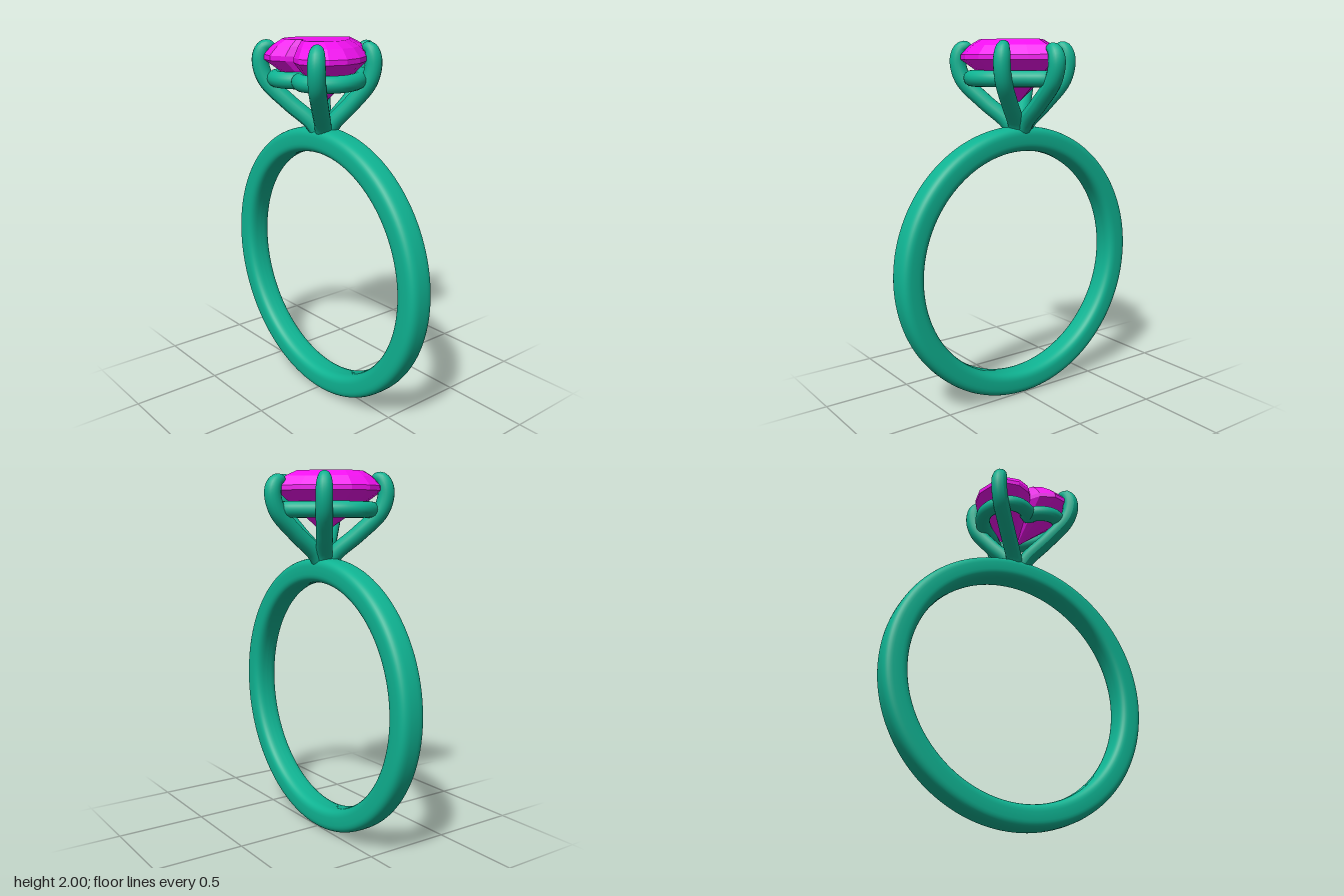
import * as THREE from 'three';

const metal = new THREE.MeshStandardMaterial({ color: 0x0fb392 });
const stone = new THREE.MeshStandardMaterial({ color: 0xf010ee, flatShading: true });

// Right half of the heart outline as [x, z], from the cleft round to the point
const half = [
  [0, 0.215], [0.035, 0.265], [0.12, 0.3], [0.195, 0.285], [0.255, 0.22], [0.285, 0.13],
  [0.265, 0.03], [0.2, -0.075], [0.1, -0.175], [0, -0.26],
];
const heart = [...half, ...half.slice(1, -1).reverse().map(([x, z]) => [-x, z])];

function part(name, geometry, material) {
  const mesh = new THREE.Mesh(geometry, material);
  mesh.name = name;
  return mesh;
}

// Band: rounded cross-section turned about the finger axis
function makeBand() {
  const soft = (v) => Math.sign(v) * Math.abs(v) ** 0.62;
  const profile = [];
  for (let i = 0; i <= 40; i++) {
    const a = Math.PI + (i / 40) * Math.PI * 2;
    profile.push(new THREE.Vector2(0.7025 + 0.0675 * soft(Math.cos(a)), 0.075 * soft(Math.sin(a))));
  }
  const band = part('band', new THREE.LatheGeometry(profile, 128), metal);
  band.rotation.x = Math.PI / 2;
  band.position.set(0, 0.77, 0.045);
  return band;
}

// Heart stone: outline scaled at each level, from culet up to the table
function makeStone() {
  const levels = [ // [y, scale, centre z]
    [1.67, 0, 0.04], [1.895, 1, 0.04], [1.92, 1, 0.04],
    [1.968, 0.84, 0.08], [2, 0.64, 0.1], [2, 0, 0.1],
  ];
  const at = ([y, s, c], i) => {
    const [x, z] = heart[i % heart.length];
    return [x * s, y, c + (z - c) * s];
  };
  const pos = [];
  for (let k = 0; k < levels.length - 1; k++) {
    const lo = levels[k], hi = levels[k + 1];
    for (let i = 0; i < heart.length; i++) {
      if (lo[1] > 0) pos.push(...at(lo, i), ...at(lo, i + 1), ...at(hi, i + 1));
      if (hi[1] > 0) pos.push(...at(lo, i), ...at(hi, i + 1), ...at(hi, i));
    }
  }
  const g = new THREE.BufferGeometry();
  g.setAttribute('position', new THREE.Float32BufferAttribute(pos, 3));
  g.computeVertexNormals();
  return part('heartStone', g, stone);
}

// Gallery rail: heart-shaped wire under the stone
function makeGallery() {
  const pts = heart.map(([x, z]) => new THREE.Vector3(x * 0.82, 1.797, 0.04 + (z - 0.04) * 0.82));
  const curve = new THREE.CatmullRomCurve3(pts, true);
  return part('galleryRail', new THREE.TubeGeometry(curve, 120, 0.043, 16, true), metal);
}

// Prong: wire leaning out from the base to (x, z), then hooking over the stone with a tapered tip
function makeProng(name, x, z, drop) {
  const steps = [ // [share of the reach, y]
    [0.05, 1.5], [0.2, 1.57], [0.56, 1.67], [0.92, 1.79], [1, 1.89], [0.93, 1.955], [0.76, 1.968],
  ];
  const curve = new THREE.CatmullRomCurve3(steps.map(([f, y]) =>
    new THREE.Vector3(x * f, y - (y > 1.9 ? drop : 0), 0.045 + (z - 0.045) * f)));
  const n = 48, sides = 16, g = new THREE.TubeGeometry(curve, n, 0.045, sides);
  const p = g.attributes.position, v = new THREE.Vector3();
  for (let i = 0; i <= n; i++) {
    const t = i / n, c = curve.getPointAt(t);
    const k = Math.sqrt(Math.max(0, 1 - Math.max(0, (t - 0.8) / 0.2) ** 2));
    for (let j = 0; j <= sides; j++) {
      const id = i * (sides + 1) + j;
      v.fromBufferAttribute(p, id).sub(c).multiplyScalar(k).add(c);
      p.setXYZ(id, v.x, v.y, v.z);
    }
  }
  g.computeVertexNormals();
  return part(name, g, metal);
}

export function createModel() {
  const ring = new THREE.Group();
  ring.name = 'heartRing';
  ring.add(makeBand(), makeStone(), makeGallery(), makeProng('backProng', 0, -0.28, 0.015));
  for (const [side, s] of [['left', 1], ['right', -1]]) {
    ring.add(makeProng(side + 'FrontProng', s * 0.235, 0.28, 0));
    ring.add(makeProng(side + 'SideProng', s * 0.215, -0.105, 0));
  }
  return ring;
}
